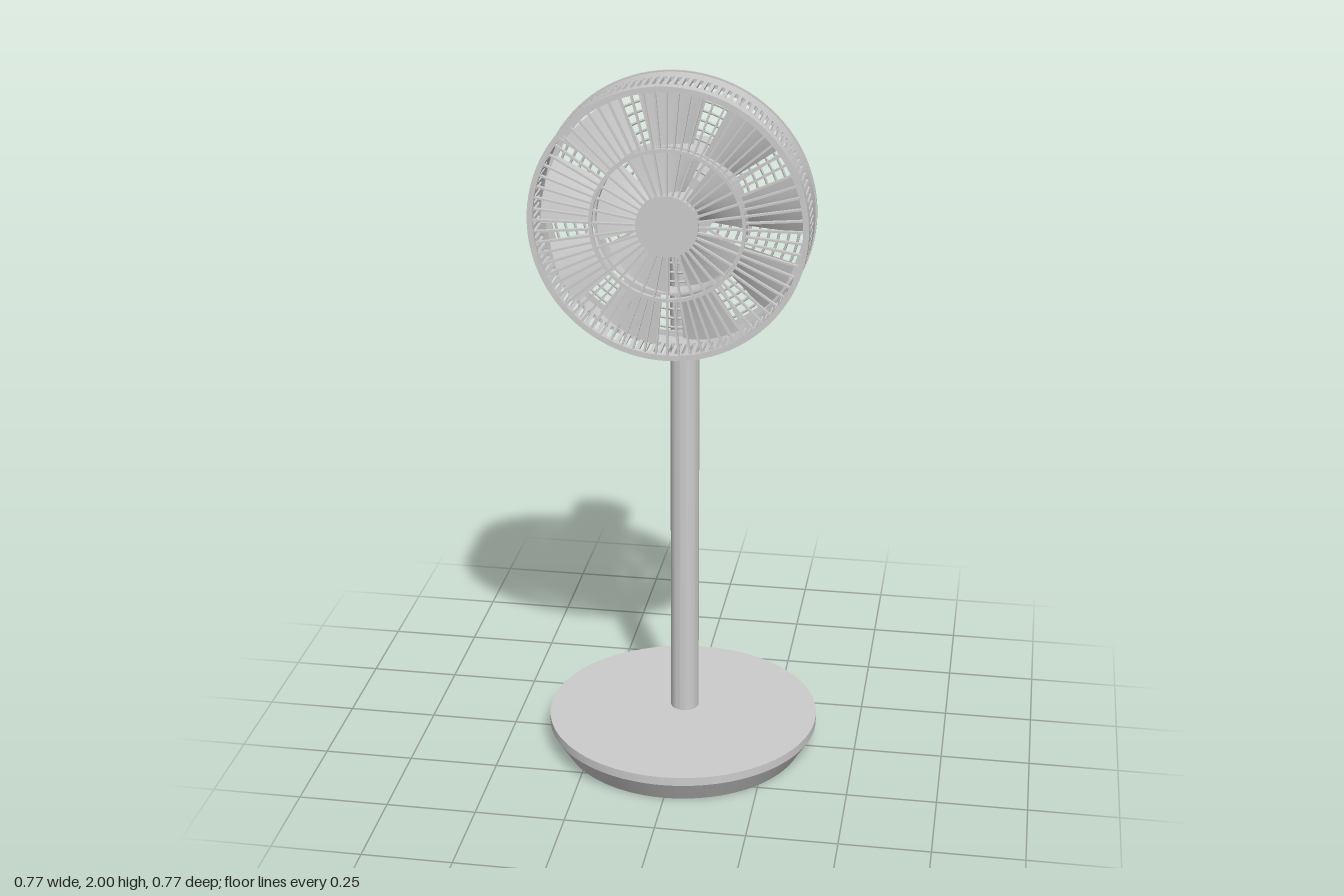
import * as THREE from 'three';
import { mergeGeometries, toCreasedNormals } from 'three/addons/utils/BufferGeometryUtils.js';

const grey = new THREE.MeshStandardMaterial({ color: 0xcccccc });
const greyThin = new THREE.MeshStandardMaterial({ color: 0xcccccc, side: THREE.DoubleSide });
const R = 0.363; // outer radius of the fan housing
const HEAD_Y = 1.633;

function add(parent, name, geometry, material = grey) {
  const mesh = new THREE.Mesh(geometry, material);
  mesh.name = name;
  parent.add(mesh);
  return mesh;
}

// Copies of a geometry spread evenly round the z axis
function around(geometry, count, start = 0) {
  const copies = [];
  for (let i = 0; i < count; i++) {
    copies.push(geometry.clone().rotateZ(start + (i * Math.PI * 2) / count));
  }
  return mergeGeometries(copies);
}

// Turned solid with crisp edges, about the y axis
function turned(points, segments = 96) {
  const profile = points.map(([r, y]) => new THREE.Vector2(r, y));
  return toCreasedNormals(new THREE.LatheGeometry(profile, segments), 0.4);
}

// Rectangular-section hoop about the z axis
function hoop(rIn, rOut, z0, z1) {
  return turned([[rIn, z0], [rOut, z0], [rOut, z1], [rIn, z1], [rIn, z0]]).rotateX(Math.PI / 2);
}

// Solid disc or cylinder along z
function rod(r, z0, z1) {
  return new THREE.CylinderGeometry(r, r, z1 - z0, 64).rotateX(Math.PI / 2).translate(0, 0, (z0 + z1) / 2);
}

// Radial bar from rIn to rOut
function spoke(rIn, rOut, width, z0, z1) {
  return new THREE.BoxGeometry(rOut - rIn, width, z1 - z0).translate((rIn + rOut) / 2, 0, (z0 + z1) / 2);
}

// One housing panel with a rounded slot, wrapped onto the cylinder
function slottedPanel(count) {
  const half = (Math.PI * R) / count;
  const z0 = 0.105, z1 = 0.268, s0 = 0.163, s1 = 0.242, w = 0.0045, wall = 0.01;
  const shape = new THREE.Shape();
  shape.moveTo(-half, z0).lineTo(half, z0).lineTo(half, z1).lineTo(-half, z1).closePath();
  const slot = new THREE.Path();
  slot.absarc(0, s1 - w, w, 0, Math.PI, false);
  slot.absarc(0, s0 + w, w, Math.PI, Math.PI * 2, false);
  slot.closePath();
  shape.holes.push(slot);
  const g = new THREE.ExtrudeGeometry(shape, { depth: wall, bevelEnabled: false, curveSegments: 5 });
  const p = g.attributes.position, n = g.attributes.normal;
  for (let i = 0; i < p.count; i++) {
    const a = p.getX(i) / R, r = R - wall + p.getZ(i);
    const s = Math.sin(a), c = Math.cos(a);
    const nu = n.getX(i), nv = n.getY(i), nw = n.getZ(i);
    p.setXYZ(i, -r * s, r * c, p.getY(i));
    n.setXYZ(i, -nw * s - nu * c, nw * c - nu * s, nv);
  }
  return g;
}

// Pitched blade: a plane bent into a sector whose depth rises with angle
function blade(rIn, rOut, spanDeg, zBack, zFront) {
  const g = new THREE.PlaneGeometry(1, 1, 10, 6);
  const p = g.attributes.position;
  for (let i = 0; i < p.count; i++) {
    const u = p.getX(i), v = p.getY(i) + 0.5;
    const a = THREE.MathUtils.degToRad(spanDeg * u);
    const r = rIn + (rOut - rIn) * v;
    const z = THREE.MathUtils.lerp(zBack, zFront, u + 0.5) + 0.008 * Math.cos(u * Math.PI);
    p.setXYZ(i, r * Math.cos(a), r * Math.sin(a), z);
  }
  g.computeVertexNormals();
  return g;
}

export function createModel() {
  const model = new THREE.Group();
  model.name = 'pedestalFan';
  const deg = THREE.MathUtils.degToRad;

  // Stand
  add(model, 'base', turned([[0, 0], [0.345, 0], [0.385, 0.065], [0.385, 0.09], [0, 0.09]], 128));
  const pole = add(model, 'pole', turned([[0.04, 0.085], [0.04, 1.505], [0.035, 1.512], [0, 1.512]], 48));
  const neck = add(model, 'neck', new THREE.CylinderGeometry(0.02, 0.02, 0.06, 32));
  pole.position.z = neck.position.z = -0.03;
  neck.position.y = 1.53;

  const head = new THREE.Group();
  head.name = 'head';
  head.position.y = HEAD_Y;
  model.add(head);

  // Motor and slotted housing
  add(head, 'motorHousing', rod(0.099, -0.263, 0.115));
  add(head, 'slottedHousing', around(slottedPanel(120), 120));
  add(head, 'rearRim', hoop(0.338, 0.367, 0.104, 0.111));
  add(head, 'frontRim', hoop(0.348, R, 0.258, 0.27));

  // Front grille: inner and outer spokes
  const front = new THREE.Group();
  front.name = 'frontGrille';
  head.add(front);
  add(front, 'frontCap', rod(0.081, 0.25, 0.27));
  add(front, 'middleRing', hoop(0.194, 0.203, 0.256, 0.268));
  add(front, 'innerSpokes', around(spoke(0.075, 0.197, 0.005, 0.257, 0.267), 36));
  add(front, 'outerSpokes', around(spoke(0.2, 0.352, 0.005, 0.257, 0.267), 72));

  // Rear grille: concentric rings on radial bars
  const rear = new THREE.Group();
  rear.name = 'rearGrille';
  head.add(rear);
  const rings = [];
  for (let i = 0; i < 9; i++) {
    rings.push(new THREE.TorusGeometry(0.122 + i * 0.0255, 0.0035, 6, 72).translate(0, 0, 0.114));
  }
  add(rear, 'rearRings', mergeGeometries(rings));
  add(rear, 'rearSpokes', around(spoke(0.09, 0.352, 0.006, 0.113, 0.121), 12));

  // Two-stage rotor
  const rotor = new THREE.Group();
  rotor.name = 'rotor';
  head.add(rotor);
  add(rotor, 'hub', rod(0.07, 0.11, 0.235));
  add(rotor, 'bladeRing', hoop(0.192, 0.198, 0.17, 0.225));
  add(rotor, 'innerBlades', around(blade(0.068, 0.194, 62, 0.165, 0.22), 5, deg(23)), greyThin);
  add(rotor, 'outerBlades', around(blade(0.196, 0.338, 29, 0.165, 0.22), 9, deg(9)), greyThin);

  return model;
}
